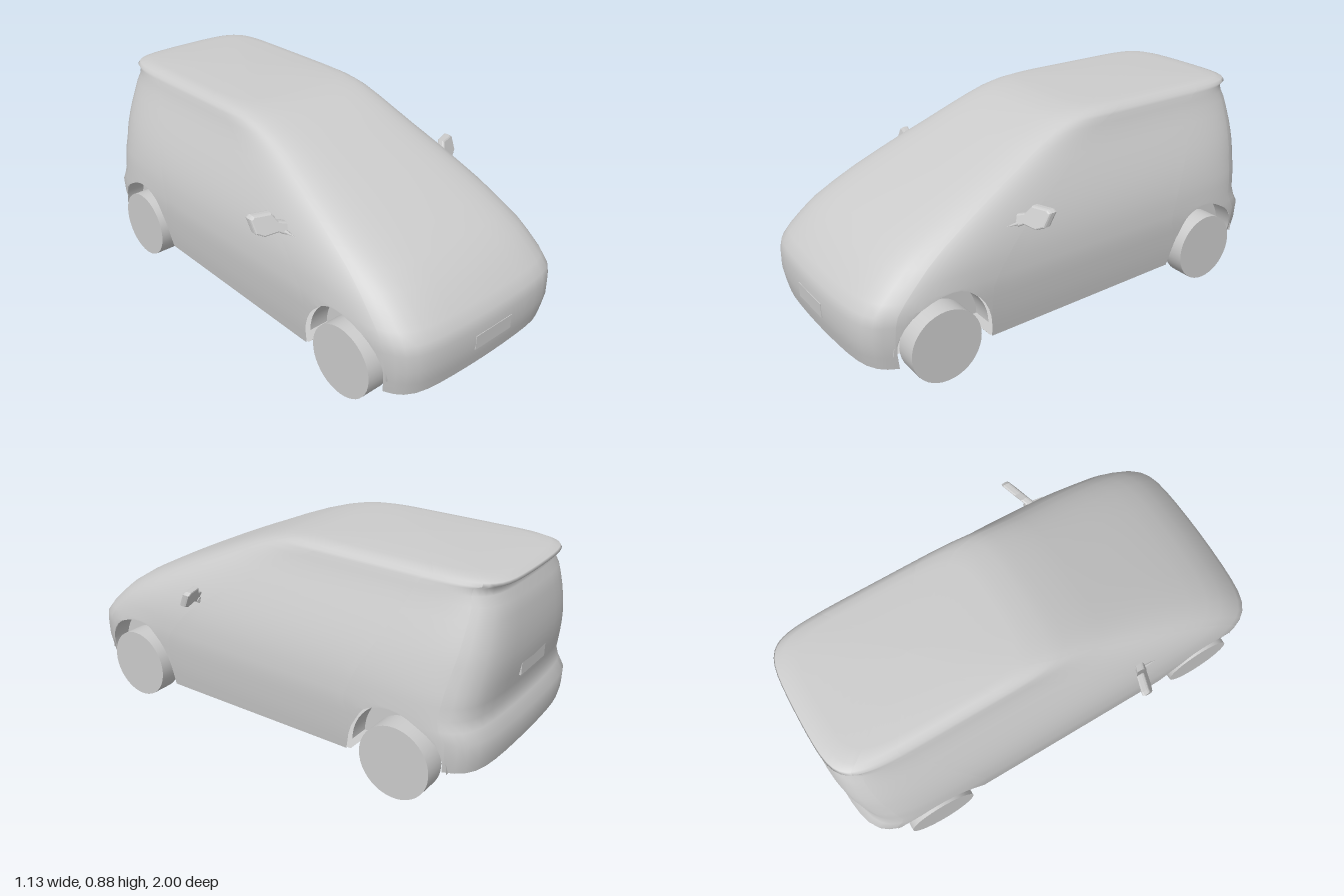
import * as THREE from 'three';

const grey = new THREE.MeshStandardMaterial({ color: 0xcccccc });
const greyDouble = new THREE.MeshStandardMaterial({ color: 0xcccccc, side: THREE.DoubleSide });

const ARCH_Z = 0.675, ARCH_Y = 0.163, ARCH_R = 0.203;

// Plan outlines by height: y, half width, front z, rear z, corner squareness
const LEVELS = [
  [0.09, 0.455, 0.975, -0.96, 8], [0.16, 0.466, 0.99, -0.985, 8],
  [0.22, 0.474, 1.0, -0.997, 8], [0.29, 0.479, 0.997, -0.997, 8],
  [0.33, 0.481, 0.985, -0.97, 8], [0.37, 0.48, 0.955, -0.96, 7.5],
  [0.42, 0.475, 0.905, -0.968, 7], [0.47, 0.468, 0.85, -0.976, 6.5],
  [0.52, 0.455, 0.775, -0.984, 6], [0.57, 0.44, 0.68, -0.986, 6],
  [0.62, 0.42, 0.575, -0.985, 6], [0.67, 0.4, 0.465, -0.98, 6],
  [0.72, 0.377, 0.35, -0.973, 6], [0.77, 0.356, 0.237, -0.963, 6],
  [0.805, 0.344, 0.15, -0.945, 6], [0.832, 0.336, 0.07, -0.942, 6],
  [0.842, 0.33, 0.035, -0.97, 6], [0.853, 0.319, -0.005, -0.965, 6],
  [0.863, 0.302, -0.07, -0.93, 6], [0.868, 0.27, -0.12, -0.88, 5],
  [0.873, 0.16, -0.28, -0.72, 4], [0.875, 0, -0.48, -0.5, 4],
];

function levelAt(y) {
  let i = 0;
  while (i < LEVELS.length - 2 && LEVELS[i + 1][0] < y) i++;
  const a = LEVELS[i], b = LEVELS[i + 1];
  const t = THREE.MathUtils.clamp((y - a[0]) / (b[0] - a[0]), 0, 1);
  return a.map((v, k) => v + (b[k] - v) * t);
}

// Columns around one half of the body, each with its lower rim height
function halfColumns() {
  const curve = (v) => Math.pow(1 - Math.pow(Math.abs(v), 8), 1 / 8);
  const ends = [0, 0.2, 0.4, 0.55, 0.68, 0.78, 0.86, 0.91];
  const cols = ends.map((x) => ({ x, z: curve(x), rim: 0.115 - 0.02 * x ** 4 }));
  const side = (z, rim) => cols.push({ x: curve(z), z, rim });
  const arch = (c, before, after) => {
    side(c + ARCH_R + 0.001, before);
    for (let k = 0; k <= 16; k++) {
      const a = (k / 16) * Math.PI;
      side(c + ARCH_R * Math.cos(a), ARCH_Y + ARCH_R * Math.sin(a));
    }
    side(c - ARCH_R - 0.001, after);
  };
  arch(ARCH_Z, 0.098, 0.105);
  for (let z = 0.4; z > -0.45; z -= 0.1) side(z, 0.114 - 0.02 * z);
  arch(-ARCH_Z, 0.123, 0.165);
  ends.slice().reverse().forEach((x) => cols.push({ x, z: -curve(x), rim: 0.175 - 0.01 * x }));
  return cols;
}

function bodyGeometry() {
  const half = halfColumns();
  const mirrored = half.slice(1, -1).reverse().map((c) => ({ ...c, x: -c.x }));
  const cols = half.concat(mirrored);
  const n = cols.length, pos = [], index = [];
  LEVELS.forEach(([rowY], r) => {
    cols.forEach((c) => {
      const y = Math.max(rowY, c.rim);
      const [, w, front, rear, p] = levelAt(y);
      const k = Math.pow(Math.abs(c.x) ** p + Math.abs(c.z) ** p, -1 / p);
      const X = c.x * k, Z = c.z * k;
      const bow = 1 - 0.03 * X * X * Z ** 8;
      pos.push(w * X, y, (front + rear) / 2 + ((front - rear) / 2) * Z * bow);
    });
    if (r === 0) return;
    for (let i = 0; i < n; i++) {
      const j = (i + 1) % n, a = (r - 1) * n, b = r * n;
      index.push(a + i, a + j, b + i, a + j, b + j, b + i);
    }
  });
  return indexed(pos, index);
}

function indexed(pos, index) {
  const g = new THREE.BufferGeometry();
  g.setAttribute('position', new THREE.Float32BufferAttribute(pos, 3));
  g.setIndex(index);
  g.computeVertexNormals();
  return g;
}

// Flat underside made of stations: z, y, half width
function underbodyGeometry() {
  const stations = [
    [0.95, 0.115, 0.3], [0.91, 0.11, 0.39], [0.885, 0.11, 0.42], [0.884, 0.11, 0.36],
    [0.471, 0.11, 0.36], [0.47, 0.108, 0.452], [-0.47, 0.123, 0.452], [-0.471, 0.123, 0.36],
    [-0.88, 0.165, 0.36], [-0.881, 0.165, 0.42], [-0.92, 0.168, 0.39], [-0.955, 0.174, 0.3],
  ];
  const pos = [], index = [];
  stations.forEach(([z, y, w], i) => {
    pos.push(-w, y, z, w, y, z);
    const a = i * 2;
    if (i) index.push(a - 2, a, a - 1, a - 1, a, a + 1);
  });
  return indexed(pos, index);
}

// Mirror housing with its stem, sheared back towards the tip
function mirrorGeometry() {
  const outline = [
    [0.425, 0.53], [0.455, 0.535], [0.475, 0.547], [0.53, 0.542], [0.56, 0.558],
    [0.565, 0.612], [0.55, 0.622], [0.482, 0.62], [0.463, 0.587], [0.425, 0.575],
  ];
  const shape = new THREE.Shape(outline.map(([x, y]) => new THREE.Vector2(x, y)));
  const g = new THREE.ExtrudeGeometry(shape, {
    depth: 0.016, bevelEnabled: true, bevelThickness: 0.01, bevelSize: 0.006, bevelOffset: -0.006, bevelSegments: 2,
  });
  const p = g.attributes.position;
  for (let i = 0; i < p.count; i++) {
    const x = p.getX(i), y = p.getY(i);
    p.setZ(i, p.getZ(i) + 0.265 + (0.565 - x) * 0.3 - (y - 0.58) * 0.45);
  }
  g.computeVertexNormals();
  return g;
}

export function createModel() {
  const car = new THREE.Group();
  car.name = 'car';
  const add = (name, geometry, material = grey, parent = car) => {
    const mesh = new THREE.Mesh(geometry, material);
    mesh.name = name;
    parent.add(mesh);
    return mesh;
  };

  add('bodyShell', bodyGeometry(), greyDouble);
  add('underbody', underbodyGeometry(), greyDouble);

  // Number plates
  const plate = new THREE.BoxGeometry(0.205, 0.06, 0.012);
  add('frontPlate', plate).position.set(0, 0.23, 0.994);
  add('rearPlate', plate).position.set(0, 0.48, -0.974);

  // Wheels and wheel wells
  const wheel = new THREE.CylinderGeometry(0.15, 0.15, 0.094, 40).rotateZ(Math.PI / 2);
  const liner = new THREE.CylinderGeometry(ARCH_R, ARCH_R, 0.085, 24, 1, true, 0, Math.PI)
    .rotateZ(Math.PI / 2);
  const wall = new THREE.CircleGeometry(ARCH_R, 24, 0, Math.PI).rotateY(Math.PI / 2);
  for (const side of [1, -1]) {
    for (const end of [1, -1]) {
      const label = (end > 0 ? 'front' : 'rear') + (side > 0 ? 'Left' : 'Right');
      add(label + 'Wheel', wheel).position.set(side * 0.431, 0.15, end * ARCH_Z);
      const well = new THREE.Group();
      well.name = label + 'WheelWell';
      well.position.set(0, ARCH_Y, end * ARCH_Z);
      add('wellLiner', liner, greyDouble, well).position.x = side * 0.4025;
      add('wellWall', wall, greyDouble, well).position.x = side * 0.36;
      car.add(well);
    }
  }

  // Door mirrors, each with a small forward foot
  const housing = mirrorGeometry();
  const foot = new THREE.ConeGeometry(0.014, 0.1, 8).rotateX(Math.PI / 2);
  for (const side of [1, -1]) {
    const mirror = new THREE.Group();
    mirror.name = side > 0 ? 'leftMirror' : 'rightMirror';
    mirror.scale.x = side;
    add('mirrorHousing', housing, grey, mirror);
    add('mirrorFoot', foot, grey, mirror).position.set(0.448, 0.545, 0.345);
    car.add(mirror);
  }
  return car;
}
